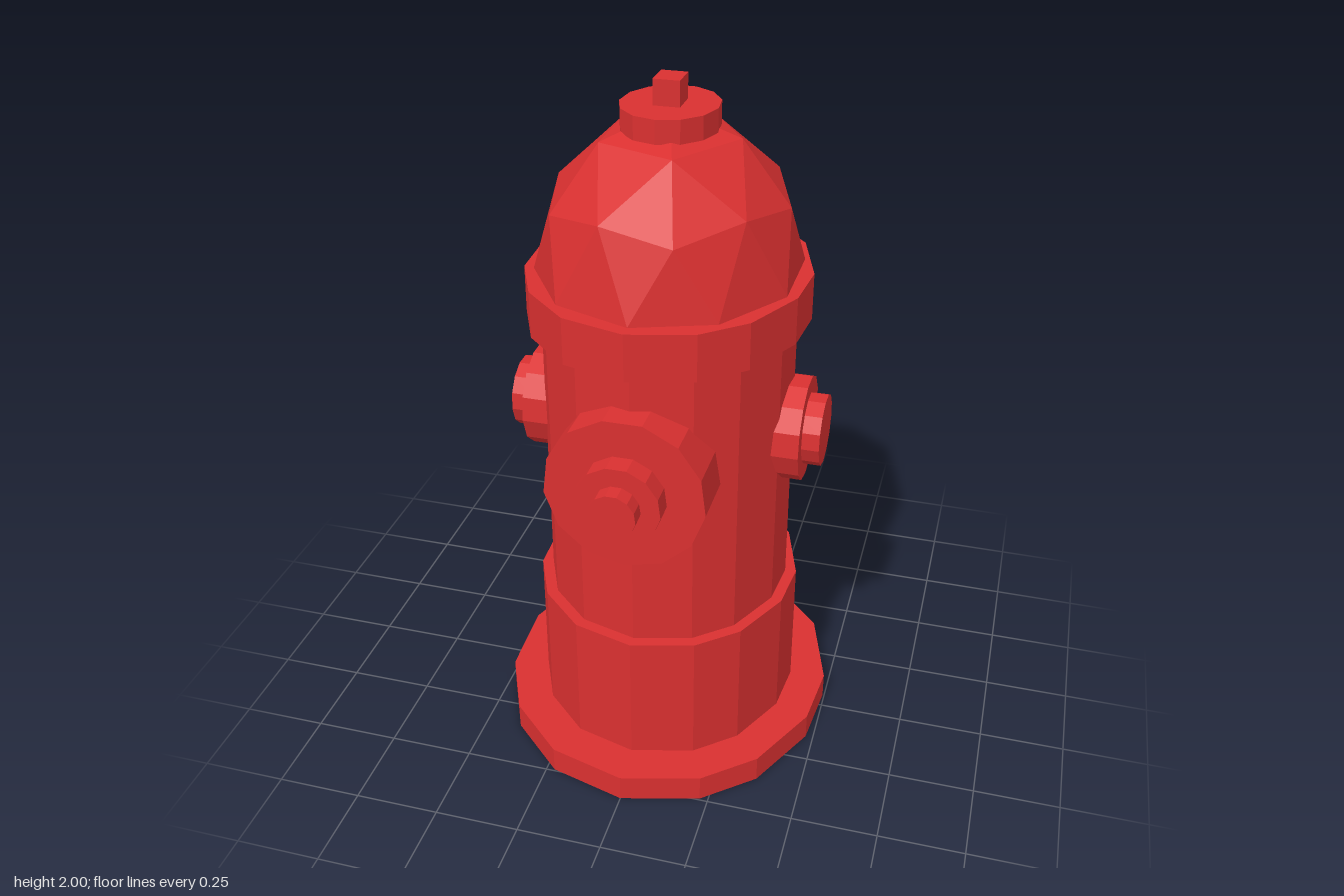
import * as THREE from 'three';

const paint = new THREE.MeshStandardMaterial({ color: 0xd93030, flatShading: true });

// Slightly irregular 14-sided outline shared by the barrel sections (degrees from the back)
const outline = [0, 29, 57, 85, 106, 132, 153, 180, 207, 232, 254.5, 280, 305, 332];

function add(parent, name, geometry) {
  const mesh = new THREE.Mesh(geometry, paint);
  mesh.name = name;
  parent.add(mesh);
  return mesh;
}

// Upright prism with an oval outline between two heights
function section(parent, name, rx, rz, y0, y1) {
  const points = outline.map((deg) => {
    const a = THREE.MathUtils.degToRad(deg);
    return new THREE.Vector2(rx * Math.sin(a), rz * Math.cos(a));
  });
  const geometry = new THREE.ExtrudeGeometry(new THREE.Shape(points), { depth: y1 - y0, bevelEnabled: false });
  geometry.rotateX(-Math.PI / 2).translate(0, y0, 0);
  return add(parent, name, geometry);
}

// Stepped outlet along +z; each step is [name, radius, start, end]
function outlet(parent, name, steps, turn, z = 0) {
  const group = new THREE.Group();
  group.name = name;
  for (const [part, radius, start, end] of steps) {
    const geometry = new THREE.CylinderGeometry(radius, radius, end - start, 13);
    geometry.rotateX(Math.PI / 2).translate(0, 0, (start + end) / 2);
    add(group, part, geometry);
  }
  group.rotation.y = turn;
  group.position.set(0, 1.01, z);
  parent.add(group);
}

export function createModel() {
  const model = new THREE.Group();
  model.name = 'fireHydrant';

  // Barrel
  section(model, 'baseFlange', 0.497, 0.555, 0, 0.08);
  section(model, 'lowerBarrel', 0.39, 0.435, 0.06, 0.48);
  section(model, 'barrel', 0.357, 0.4, 0.46, 1.36);
  section(model, 'collar', 0.396, 0.445, 1.34, 1.475);

  // Faceted dome, with its lower half tucked into the collar
  const dome = new THREE.IcosahedronGeometry(1, 1);
  dome.rotateZ(-Math.atan(2 / (1 + Math.sqrt(5))));
  const p = dome.attributes.position;
  for (let i = 0; i < p.count; i++) p.setY(i, Math.max(p.getY(i), -0.05));
  dome.scale(0.37, 0.44, 0.41).translate(0, 1.475, -0.003);
  dome.computeVertexNormals();
  add(model, 'dome', dome);

  // Top cap and square bolt
  const cap = new THREE.CylinderGeometry(0.134, 0.134, 0.065, 13);
  cap.scale(1, 1, 1.12).translate(0, 1.8975, -0.003);
  add(model, 'topCap', cap);
  add(model, 'topBolt', new THREE.BoxGeometry(0.073, 0.09, 0.082).translate(0, 1.955, -0.004));

  // Large outlets front and back
  const large = [
    ['outletCap', 0.226, 0.2, 0.466],
    ['outletRing', 0.12, 0.45, 0.527],
    ['outletBolt', 0.066, 0.51, 0.575],
  ];
  outlet(model, 'frontOutlet', large, 0);
  outlet(model, 'backOutlet', large, Math.PI);

  // Small outlets left and right
  const small = [
    ['outletCap', 0.152, 0.2, 0.405],
    ['outletBolt', 0.122 * 0.85, 0.39, 0.455],
  ];
  outlet(model, 'leftOutlet', small, Math.PI / 2, -0.01);
  outlet(model, 'rightOutlet', small, -Math.PI / 2, -0.01);

  return model;
}
